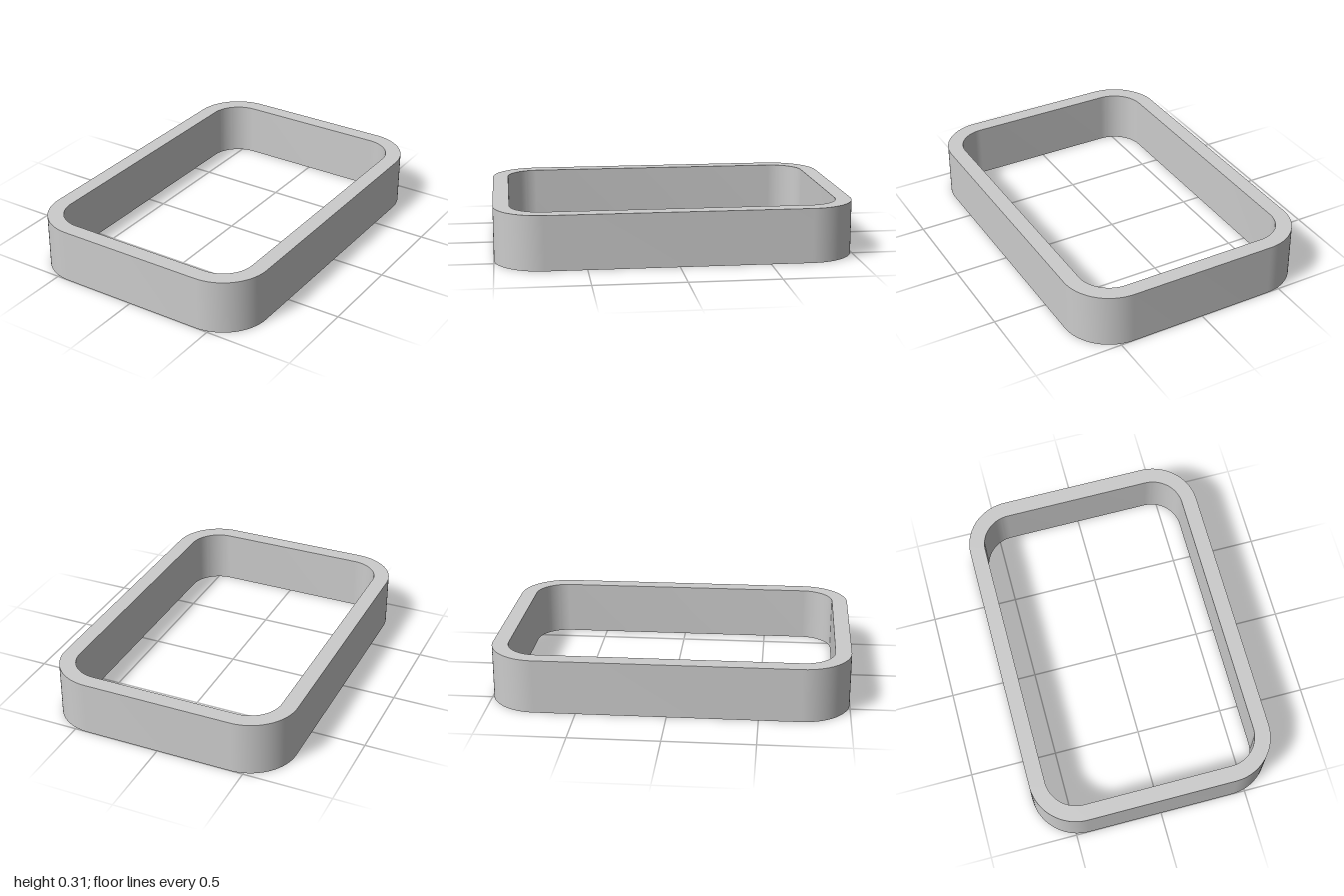
import * as THREE from 'three';
import { toCreasedNormals } from 'three/addons/utils/BufferGeometryUtils.js';

const HALF_WIDTH = 0.695, HALF_LENGTH = 1, HEIGHT = 0.305;
const WALL = 0.09, CORNER_RADIUS = 0.27;

// Trace a centred rectangle with rounded corners, counter-clockwise
function roundedRect(path, hx, hy, r) {
  const x = hx - r, y = hy - r, q = Math.PI / 2;
  path.moveTo(hx, -y);
  [[x, y], [-x, y], [-x, -y], [x, -y]].forEach(([cx, cy], i) =>
    path.absarc(cx, cy, r, i * q, (i + 1) * q, false));
  path.closePath();
  return path;
}

export function createModel() {
  const group = new THREE.Group();
  group.name = 'roundedFrame';

  // Outer outline with a concentric opening
  const outline = roundedRect(new THREE.Shape(), HALF_WIDTH, HALF_LENGTH, CORNER_RADIUS);
  outline.holes.push(
    roundedRect(new THREE.Path(), HALF_WIDTH - WALL, HALF_LENGTH - WALL, CORNER_RADIUS - WALL));

  // Extrude upwards; smooth corners, sharp rims
  const geometry = new THREE.ExtrudeGeometry(outline, {
    depth: HEIGHT, bevelEnabled: false, curveSegments: 16,
  });
  geometry.rotateX(-Math.PI / 2);

  const wall = new THREE.Mesh(
    toCreasedNormals(geometry, 0.6),
    new THREE.MeshStandardMaterial({ color: 0xcccccc }));
  wall.name = 'frameWall';
  group.add(wall);
  return group;
}
